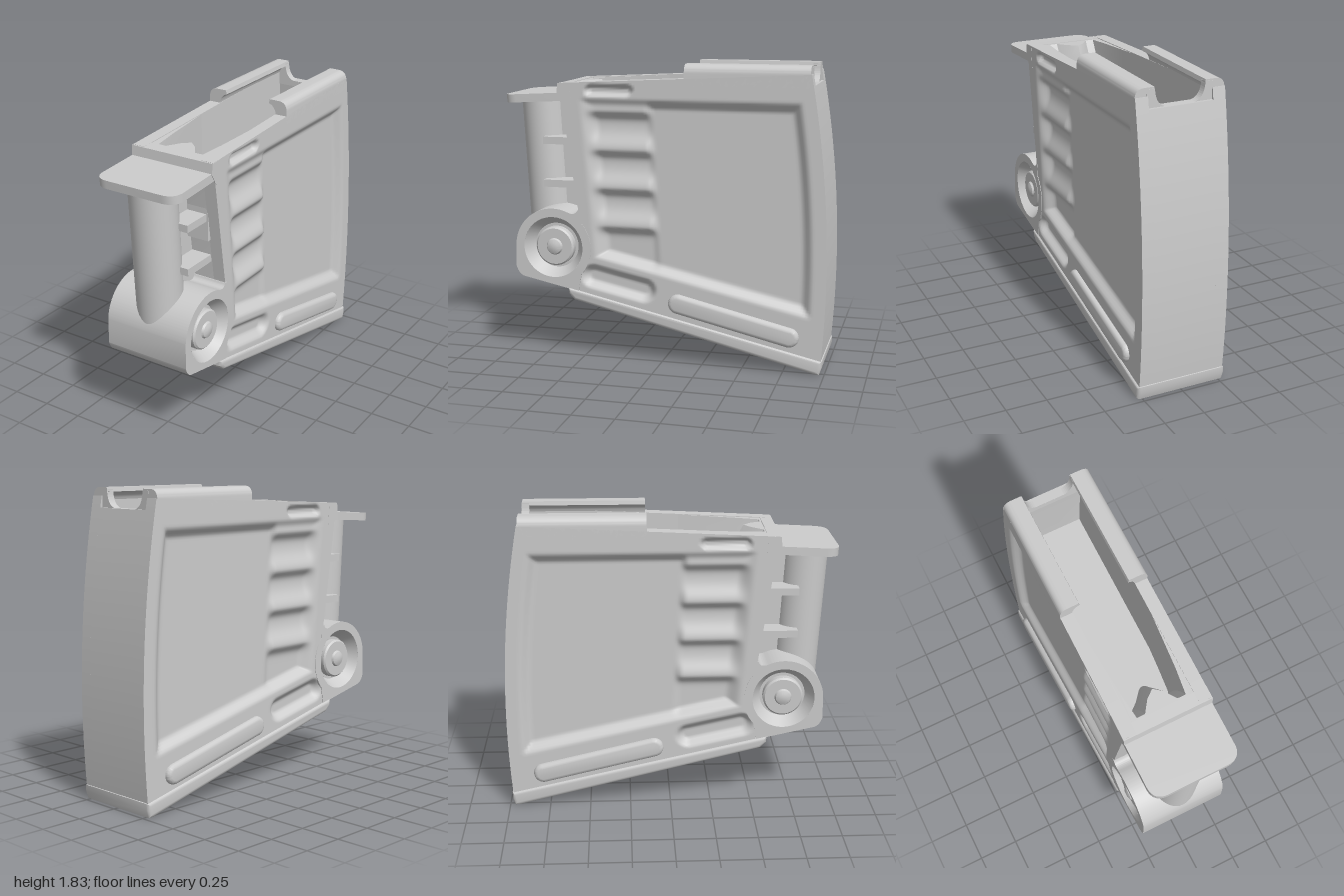
import * as THREE from 'three';
import { toCreasedNormals } from 'three/addons/utils/BufferGeometryUtils.js';

const material = new THREE.MeshStandardMaterial({ color: 0xcccccc, side: THREE.DoubleSide });
const { lerp, smoothstep, clamp } = THREE.MathUtils;

// Outline rules of the curved body, seen from the side
const baseY = z => 0.08 + (z + 0.98) * 0.225;
const topY = z => 1.737 - z * 0.05;
const backZ = y => -1 + 0.0793 * (y - 0.6) ** 2;
function frontZ(y) {
  if (y > 0.93) return 0.525 + (y - 0.93) * 0.145;
  const h = 0.215 ** 2 - (y - 0.69) ** 2; // leaves room for the pivot boss
  return h > 0 ? Math.min(0.525, 0.69 - Math.sqrt(h)) : 0.525;
}

function toShape(points) {
  return new THREE.Shape(points.map(p => new THREE.Vector2(p[0], p[1])));
}

// Extrudes a (z, y) side shape across x, from -half to +half
function across(shape, half, bevel = 0) {
  const g = new THREE.ExtrudeGeometry(shape, {
    depth: 2 * (half - bevel), curveSegments: 32, bevelEnabled: bevel > 0,
    bevelSize: bevel, bevelThickness: bevel, bevelOffset: -bevel, bevelSegments: 3,
  });
  g.translate(0, 0, -(half - bevel)).rotateY(-Math.PI / 2);
  return toCreasedNormals(g, 0.6);
}

function capsuleShape(length, r) {
  const s = new THREE.Shape();
  s.absarc(length / 2, 0, r, -Math.PI / 2, Math.PI / 2);
  s.absarc(-length / 2, 0, r, Math.PI / 2, Math.PI * 1.5);
  return s;
}

function segmentDistance(z, y, az, ay, bz, by) {
  const dz = bz - az, dy = by - ay;
  const t = clamp(((z - az) * dz + (y - ay) * dy) / (dz * dz + dy * dy), 0, 1);
  return Math.hypot(z - az - t * dz, y - ay - t * dy);
}

// Outer surface of a side wall: recessed field, scalloped grip and two slots
function wallX(z, y) {
  const edge = 0.42 + (y - 0.7) * 0.085;
  const inset = Math.min((edge - z) * 0.7, z - backZ(y) - 0.09, y - baseY(z) - 0.25, 1.61 - y);
  let depth = 0.045 * smoothstep(inset, -0.01, 0.06);
  const gripEnd = 0.03 + (y - 0.6) * 0.05;
  const grip = smoothstep(z, gripEnd - 0.02, gripEnd + 0.03) * smoothstep(inset, 0, 0.06);
  depth += 0.013 * grip;
  for (let k = 0; k < 4; k++) {
    const d = y - (0.84 + 0.235 * k);
    depth -= 0.042 * grip * Math.exp(-((d / (d > 0 ? 0.08 : 0.04)) ** 2));
  }
  depth += 0.045 * smoothstep(0.082 - segmentDistance(z, y, 0.435, 0.52, 0.11, 0.45), 0, 0.055);
  depth += 0.03 * smoothstep(0.036 - segmentDistance(z, y, 0.44, 1.665, 0.21, 1.665), 0, 0.02);
  return 0.272 - depth;
}

function sideWallGeometry() {
  const g = new THREE.BoxGeometry(1, 1, 1, 1, 120, 100);
  const p = g.attributes.position;
  for (let i = 0; i < p.count; i++) {
    const u = p.getZ(i) + 0.5, v = p.getY(i) + 0.5;
    let z = lerp(-0.95, 0.55, u), y = 0;
    for (let k = 0; k < 4; k++) {
      y = lerp(baseY(z), topY(z), v);
      z = lerp(backZ(y), frontZ(y), u);
    }
    p.setXYZ(i, p.getX(i) > 0 ? wallX(z, y) : 0.195, y, z);
  }
  g.computeVertexNormals();
  return g;
}

// Inner face of the front wall: two feed valleys beside a central ridge
function feedRampGeometry() {
  const profile = [[0, 0.45, 0.3], [0.05, 0.49, 0.36], [0.1, 0.56, 0.4], [0.15, 0.56, 0.4],
    [0.17, 0.4, 0.36], [0.185, 0.2, 0.2], [0.2, 0, 0]]; // |x|, z at top, z at bottom
  const n = profile.length - 1;
  const g = new THREE.BoxGeometry(1, 1, 1, 2 * n, 8, 1);
  const p = g.attributes.position;
  for (let i = 0; i < p.count; i++) {
    const column = Math.round(p.getX(i) * 2 * n), v = p.getY(i) + 0.5;
    const [x, zTop, zBottom] = profile[Math.abs(column)];
    const z = p.getZ(i) > 0 ? 0.59 : lerp(zBottom, zTop, v * v);
    p.setXYZ(i, Math.sign(column) * x, lerp(1.2, topY(z) - 0.004, v), z);
  }
  return toCreasedNormals(g, 0.5);
}

export function createModel() {
  const model = new THREE.Group();
  function add(name, geometry, x = 0, y = 0, z = 0) {
    const mesh = new THREE.Mesh(geometry, material);
    mesh.name = name;
    mesh.position.set(x, y, z);
    model.add(mesh);
    return mesh;
  }
  // Adds a part on the left and its mirror image on the right
  function addPair(name, geometry) {
    add(name + 'Left', geometry);
    add(name + 'Right', geometry).scale.x = -1;
  }

  // Hollow body: sides, back, front, bottom and inner floor
  addPair('sideWall', sideWallGeometry());
  const back = [];
  for (let i = 0; i <= 60; i++) {
    const y = lerp(0.08, 1.715, i / 60);
    back.push([backZ(y), y]);
  }
  add('backWall', across(toShape([...back, [-0.84, 1.715], [-0.93, 0.7], [-0.9, 0.1]]), 0.195));
  add('frontWall', across(toShape([[0.525, 0.42], [0.525, 0.93], [0.63, 1.69], [0.57, 1.69],
    [0.46, 0.93], [0.45, 0.4]]), 0.195));
  add('bottom', across(toShape([[-0.97, 0.08], [0.525, 0.42], [0.525, 0.52], [-0.97, 0.18]]), 0.195));
  add('innerFloor', across(toShape([[-0.93, 1.25], [-0.93, 1.21], [0.52, 1.16], [0.52, 1.2]]), 0.195));
  add('feedRamp', feedRampGeometry());

  // Notched upper back edge
  const notch = toShape([[-0.2, 1.68], [0.2, 1.68], [0.2, 1.82], [0.152, 1.82]]);
  notch.bezierCurveTo(0.15, 1.75, 0.12, 1.715, 0.07, 1.712);
  notch.lineTo(-0.07, 1.712);
  notch.bezierCurveTo(-0.12, 1.715, -0.15, 1.75, -0.152, 1.82);
  notch.lineTo(-0.2, 1.82);
  add('backNotch', new THREE.ExtrudeGeometry(notch, { depth: 0.045, bevelEnabled: false }), 0, 0, -0.885);

  // Curled lips along the top
  const lip = toShape([[0.2, 1.68], [0.272, 1.68], [0.272, 1.775]]);
  lip.quadraticCurveTo(0.27, 1.83, 0.215, 1.83);
  lip.lineTo(0.155, 1.83);
  lip.lineTo(0.15, 1.805);
  lip.quadraticCurveTo(0.2, 1.79, 0.2, 1.72);
  const lipGeometry = new THREE.ExtrudeGeometry(lip, { depth: 0.745, bevelEnabled: false });
  addPair('topLip', toCreasedNormals(lipGeometry.translate(0, 0, -0.883), 0.6));

  // Head of the front wall
  add('frontHead', across(toShape([[0.57, 1.708], [0.645, 1.703], [0.652, 1.64], [0.61, 1.57], [0.56, 1.57]]), 0.273));

  // Front tab with rounded corners
  const tab = toShape([[-0.27, 0.6], [-0.27, 0.92]]);
  tab.quadraticCurveTo(-0.265, 1, -0.18, 1);
  tab.lineTo(0.18, 1);
  tab.quadraticCurveTo(0.265, 1, 0.27, 0.92);
  tab.lineTo(0.27, 0.6);
  const tabGeometry = new THREE.ExtrudeGeometry(tab, { depth: 0.05, bevelEnabled: false });
  tabGeometry.rotateX(Math.PI / 2).translate(0, 0, -1).rotateX(0.055).translate(0, 1.626, 0.998);
  add('frontTab', toCreasedNormals(tabGeometry, 0.6));

  // Front column, its web and cross struts
  const column = add('frontColumn', new THREE.CylinderGeometry(0.138, 0.138, 0.9, 40), 0, 1.14, 0.805);
  column.rotation.x = 0.055;
  add('columnWeb', across(toShape([[0.83, 1.59], [0.58, 1.59], [0.5, 0.85], [0.8, 0.85]]), 0.06));
  for (const y of [1.343, 1.075]) add('strut', new THREE.BoxGeometry(0.38, 0.045, 0.25), 0, y, 0.65);

  // Pivot boss with cupped ends and a pin
  const boss = new THREE.Shape();
  boss.moveTo(0.935, 0.72);
  boss.absarc(0.69, 0.69, 0.243, 0.1, Math.PI * 0.62);
  boss.quadraticCurveTo(0.545, 0.89, 0.53, 0.93);
  boss.lineTo(0.51, 0.93);
  boss.lineTo(0.51, 0.85);
  boss.absarc(0.69, 0.69, 0.243, Math.PI * 0.77, Math.PI * 1.23);
  boss.lineTo(0.53, 0.42);
  boss.lineTo(0.6, 0.435);
  boss.lineTo(0.88, 0.495);
  boss.quadraticCurveTo(0.92, 0.505, 0.935, 0.56);
  const hole = new THREE.Path();
  hole.absarc(0.69, 0.69, 0.19, 0, Math.PI * 2, true);
  boss.holes.push(hole);
  add('pivotBoss', across(boss, 0.275));
  const cup = [[0.19, 0.275], [0.14, 0.2], [0.122, 0.2], [0.122, 0.24], [0.112, 0.25],
    [0.052, 0.25], [0.045, 0.262], [0.025, 0.27], [0, 0.272]];
  const cupGeometry = new THREE.LatheGeometry(cup.map(p => new THREE.Vector2(p[0], p[1])), 40);
  cupGeometry.rotateZ(-Math.PI / 2).translate(0, 0.69, 0.69);
  addPair('pivotPin', toCreasedNormals(cupGeometry, 0.6));

  // Raised pads low on the sides
  const pad = across(capsuleShape(0.7, 0.06), 0.303, 0.025);
  pad.rotateX(-Math.atan(0.235)).translate(0, 0.3, -0.445);
  add('sidePads', pad);

  // Sloping base plate
  add('basePlate', across(toShape([[0.595, 0.44], [0.592, 0.4], [0.555, 0.363], [-0.94, 0.002],
    [-0.97, 0], [-0.985, 0.045], [-0.985, 0.085]]), 0.285, 0.02));
  return model;
}
